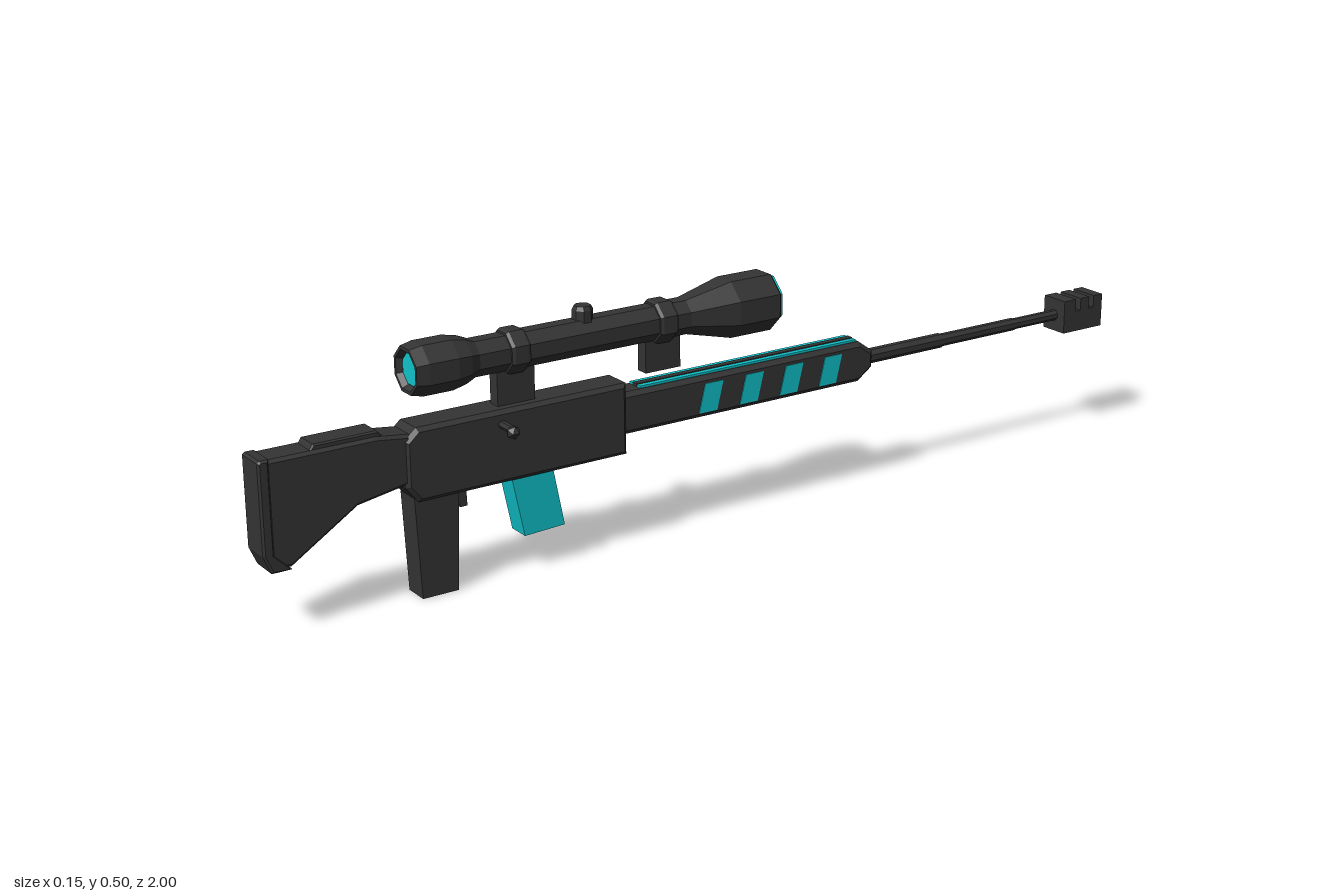
import * as THREE from 'three';

const CX = -0.015; // centre plane of the body
const SCOPE_Y = 0.437;

export function createModel() {
  const dark = new THREE.MeshStandardMaterial({ color: 0x343434 });
  dark.name = 'charcoal';
  const teal = new THREE.MeshStandardMaterial({ color: 0x10c5cd });
  teal.name = 'teal';
  const root = new THREE.Group();

  function add(name, geo, mat = dark, x = CX, y = 0, z = 0) {
    const g = geo.index ? geo.toNonIndexed() : geo;
    g.computeVertexNormals(); // faceted look
    const mesh = new THREE.Mesh(g, mat);
    mesh.name = name;
    mesh.position.set(x, y, z);
    root.add(mesh);
    return mesh;
  }

  // Side outline of [z, y] points, extruded across x with chamfered edges
  function slab(points, half, bevel = 0) {
    const shape = new THREE.Shape(points.map(([z, y]) => new THREE.Vector2(z, y)));
    const depth = 2 * (half - bevel);
    return new THREE.ExtrudeGeometry(shape, {
      depth, bevelEnabled: bevel > 0, bevelThickness: bevel, bevelSize: bevel,
      bevelOffset: -bevel, bevelSegments: 1,
    }).translate(0, 0, -depth / 2).rotateY(-Math.PI / 2);
  }

  // Eight-sided turned part along z from [apothem, z] points in rising z
  function octagon(profile) {
    const k = 1 / Math.cos(Math.PI / 8);
    const pts = profile.map(([r, z]) => new THREE.Vector2(r * k, z));
    return new THREE.LatheGeometry(pts, 8, Math.PI / 8).rotateX(Math.PI / 2);
  }

  const box = (w, h, d) => new THREE.BoxGeometry(w, h, d);

  // Stock
  add('stock', slab([[0.985, 0.335], [0.985, 0.13], [0.945, 0.127], [0.81, 0.213],
    [0.7, 0.232], [0.7, 0.326], [0.77, 0.335]], 0.032, 0.006));
  add('buttPad', slab([[1, 0.333], [1, 0.158], [0.985, 0.123], [0.945, 0.123],
    [0.978, 0.158], [0.978, 0.337], [0.995, 0.337]], 0.034, 0.004));
  add('cheekRest', slab([[0.9, 0.33], [0.89, 0.345], [0.765, 0.345], [0.75, 0.33]], 0.026, 0.003));

  // Receiver with side panel and bolt
  add('receiver', slab([[0.715, 0.225], [0.715, 0.315], [0.69, 0.337], [0.24, 0.337],
    [0.24, 0.193], [0.69, 0.193]], 0.037, 0.008));
  add('sidePanel', box(0.006, 0.05, 0.1), dark, CX - 0.037, 0.257, 0.595);
  add('panelCatch', box(0.008, 0.012, 0.02), dark, CX - 0.036, 0.23, 0.51);
  add('boltHandle', new THREE.CylinderGeometry(0.008, 0.008, 0.05, 6).rotateZ(Math.PI / 2),
    dark, 0.038, 0.31, 0.515);
  add('boltKnob', new THREE.IcosahedronGeometry(0.014, 0), dark, 0.062, 0.306, 0.515);

  // Grip, trigger and magazine
  add('grip', slab([[0.697, 0.2], [0.605, 0.2], [0.613, 0], [0.688, 0]], 0.027));
  add('trigger', slab([[0.607, 0.2], [0.58, 0.2], [0.578, 0.155], [0.593, 0.155]], 0.008));
  add('magazine', slab([[0.492, 0.2], [0.402, 0.2], [0.378, 0.077], [0.466, 0.073]], 0.024), teal);

  // Handguard with top rail and slanted side stripes
  add('handguard', slab([[0.25, 0.23], [0.25, 0.315], [-0.33, 0.315], [-0.365, 0.29],
    [-0.365, 0.255], [-0.33, 0.23]], 0.03, 0.009));
  add('railRib', box(0.014, 0.008, 0.525), dark, CX, 0.317, -0.0625);
  for (const s of [-1, 1]) {
    add('railStrip', box(0.011, 0.006, 0.525), teal, CX + s * 0.0135, 0.3165, -0.0625);
    for (let i = 0; i < 4; i++) {
      add('sideStripe', slab([[0.071, 0.241], [0.028, 0.241], [0.013, 0.3], [0.056, 0.3]], 0.002),
        teal, CX + s * 0.0295, 0, -0.098 * i);
    }
  }

  // Barrel, stepping thinner toward a slotted muzzle
  add('barrel', octagon([[0, -0.9], [0.011, -0.9], [0.011, -0.77], [0.0125, -0.77],
    [0.0125, -0.565], [0.0145, -0.565], [0.0145, -0.35], [0, -0.35]]), dark, CX, 0.27);
  const teeth = [[-0.89, 0.235]];
  for (const z of [-0.89, -0.937, -0.975]) {
    const w = z === -0.89 ? 0.033 : 0.025;
    if (z !== -0.89) teeth.push([z, 0.28]);
    teeth.push([z, 0.307], [z - w, 0.307]);
    if (z !== -0.975) teeth.push([z - w, 0.28]);
  }
  teeth.push([-1, 0.235]);
  add('muzzleBrake', slab(teeth, 0.032));

  // Scope body: objective bell, tube and hollow eyepiece
  add('scopeBody', octagon([[0, -0.11], [0.052, -0.11], [0.057, -0.105], [0.057, -0.01],
    [0.05, 0.02], [0.034, 0.09], [0.034, 0.555], [0.042, 0.575], [0.048, 0.605],
    [0.048, 0.665], [0.043, 0.69], [0.037, 0.69], [0.03, 0.675], [0, 0.675]]), dark, CX, SCOPE_Y);
  add('objectiveGlass', octagon([[0, -0.115], [0.051, -0.115], [0.051, -0.109], [0, -0.109]]),
    teal, CX, SCOPE_Y);
  add('eyepieceGlass', octagon([[0, 0.674], [0.029, 0.674], [0.029, 0.68], [0, 0.68]]),
    teal, CX, SCOPE_Y);

  // Scope rings and mounts
  for (const [z, bottom] of [[0.47, 0.33], [0.143, 0.34]]) {
    add('scopeRing', octagon([[0, z - 0.02], [0.038, z - 0.02], [0.041, z - 0.014],
      [0.041, z + 0.014], [0.038, z + 0.02], [0, z + 0.02]]), dark, CX, SCOPE_Y);
    add('scopeMount', box(0.027, 0.42 - bottom, 0.08), dark, CX, (0.42 + bottom) / 2, z);
  }

  // Adjustment turrets on top and side
  const turret = () => octagon([[0, 0], [0.019, 0], [0.019, 0.052], [0.015, 0.06], [0, 0.06]]);
  add('topTurret', turret().rotateX(-Math.PI / 2), dark, CX, SCOPE_Y, 0.315);
  add('sideTurret', turret().rotateY(-Math.PI / 2), dark, CX, SCOPE_Y, 0.315);

  return root;
}
